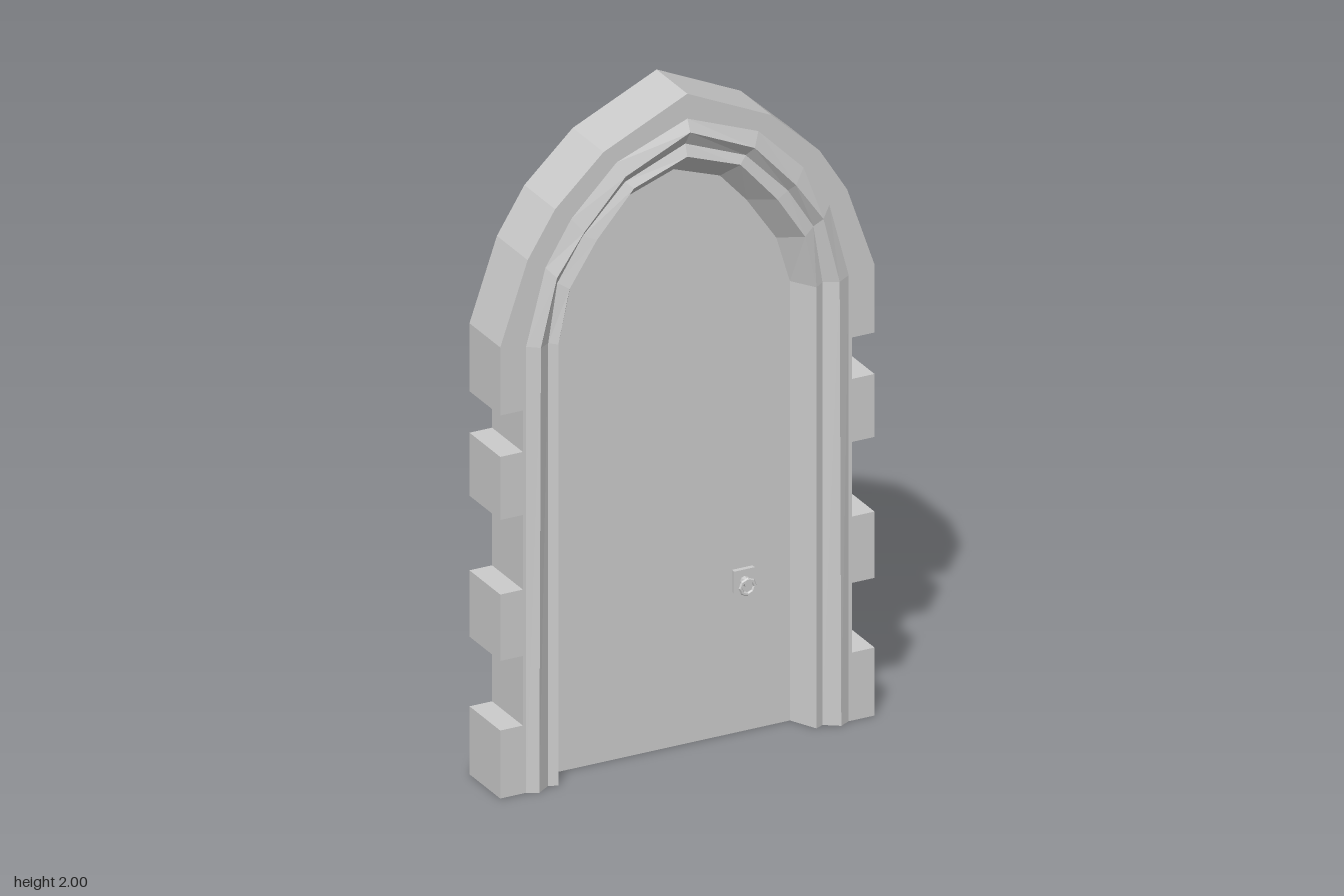
import * as THREE from 'three';

const FRONT = 0.08, BACK = -0.1, PANEL_Z = 0;
const stone = new THREE.MeshStandardMaterial({ color: 0xcccccc, flatShading: true, side: THREE.DoubleSide });

// Mirror a right-hand half (foot to apex) into a full arch path
const mirror = (half) => [
  ...half,
  ...half.filter(([x]) => x > 0).reverse().map(([x, y]) => [-x, y]),
];

// Join two matching paths, each at its own depth, with a band of quads
function band(a, za, b, zb) {
  const pos = [], index = [];
  a.forEach(([x, y], i) => pos.push(x, y, za, b[i][0], b[i][1], zb));
  for (let i = 0; i < a.length - 1; i++) {
    const k = i * 2;
    index.push(k, k + 2, k + 1, k + 1, k + 2, k + 3);
  }
  const g = new THREE.BufferGeometry();
  g.setAttribute('position', new THREE.Float32BufferAttribute(pos, 3));
  g.setIndex(index);
  const flat = g.toNonIndexed();
  flat.computeVertexNormals();
  return flat;
}

function add(parent, name, geometry, x = 0, y = 0, z = 0) {
  const mesh = new THREE.Mesh(geometry, stone);
  mesh.name = name;
  mesh.position.set(x, y, z);
  parent.add(mesh);
  return mesh;
}

export function createModel() {
  const group = new THREE.Group();
  group.name = 'archedDoor';

  // Outer silhouette with toothed corner stones
  const teeth = [[0, 0.205], [0.415, 0.615], [0.84, 1.03]];
  const half = [];
  for (const [lo, hi] of teeth) {
    if (lo > 0) half.push([0.51, lo]);
    half.push([0.58, lo], [0.58, hi], [0.51, hi]);
  }
  half.push([0.51, 1.155], [0.58, 1.155], [0.58, 1.36],
    [0.495, 1.605], [0.41, 1.74], [0.26, 1.88], [0, 2]);
  const outer = mirror(half);

  // Moulding paths from the outside in, each with its depth
  const rings = [
    { z: FRONT, p: [[0.5, 0], [0.5, 1.345], [0.44, 1.57], [0.36, 1.70], [0.22, 1.84], [0, 1.925]] },
    { z: 0.097, p: [[0.468, 0], [0.463, 1.34], [0.413, 1.54], [0.328, 1.66], [0.2, 1.80], [0, 1.89]] },
    { z: 0.068, p: [[0.425, 0], [0.425, 1.335], [0.397, 1.51], [0.318, 1.635], [0.187, 1.77], [0, 1.845]] },
    { z: 0.08, p: [[0.4, 0], [0.4, 1.33], [0.365, 1.49], [0.28, 1.62], [0.165, 1.75], [0, 1.81]] },
    { z: PANEL_Z, p: [[0.36, 0], [0.36, 1.325], [0.318, 1.465], [0.225, 1.60], [0.143, 1.69], [0, 1.74]] },
  ].map(({ z, p }) => ({ z, p: mirror(p) }));

  // Stone surround: side walls and front face, open at the back
  add(group, 'surroundWall', band(outer, BACK, outer, FRONT));
  const face = new THREE.Shape(
    [...outer, ...[...rings[0].p].reverse()].map(([x, y]) => new THREE.Vector2(x, y)));
  add(group, 'surroundFace', new THREE.ShapeGeometry(face), 0, 0, FRONT);

  // Continuous wall behind the corner stones
  for (const side of [1, -1]) {
    const wall = new THREE.PlaneGeometry(FRONT - BACK, 1.21);
    wall.rotateY(side * Math.PI / 2);
    add(group, side > 0 ? 'leftInnerWall' : 'rightInnerWall', wall, side * 0.509, 0.605, (FRONT + BACK) / 2);
  }

  // Stepped mouldings
  const names = ['outerBevel', 'outerMoulding', 'innerStep', 'reveal'];
  names.forEach((name, i) =>
    add(group, name, band(rings[i].p, rings[i].z, rings[i + 1].p, rings[i + 1].z)));

  // Door leaf, a flat rectangle behind the arch
  add(group, 'doorPanel', new THREE.PlaneGeometry(0.75, 1.74), 0, 0.87, PANEL_Z);

  // Handle: plate, stem and ring
  const handle = new THREE.Group();
  handle.name = 'handle';
  handle.position.set(0.212, 0.46, PANEL_Z);
  group.add(handle);
  add(handle, 'handlePlate', new THREE.BoxGeometry(0.064, 0.066, 0.014), 0, 0, 0.007);
  const stem = new THREE.CylinderGeometry(0.012, 0.014, 0.025, 8).rotateX(Math.PI / 2);
  add(handle, 'handleStem', stem, 0, 0, 0.025);
  add(handle, 'handleRing', new THREE.TorusGeometry(0.022, 0.006, 6, 8), 0, -0.012, 0.032);

  return group;
}
